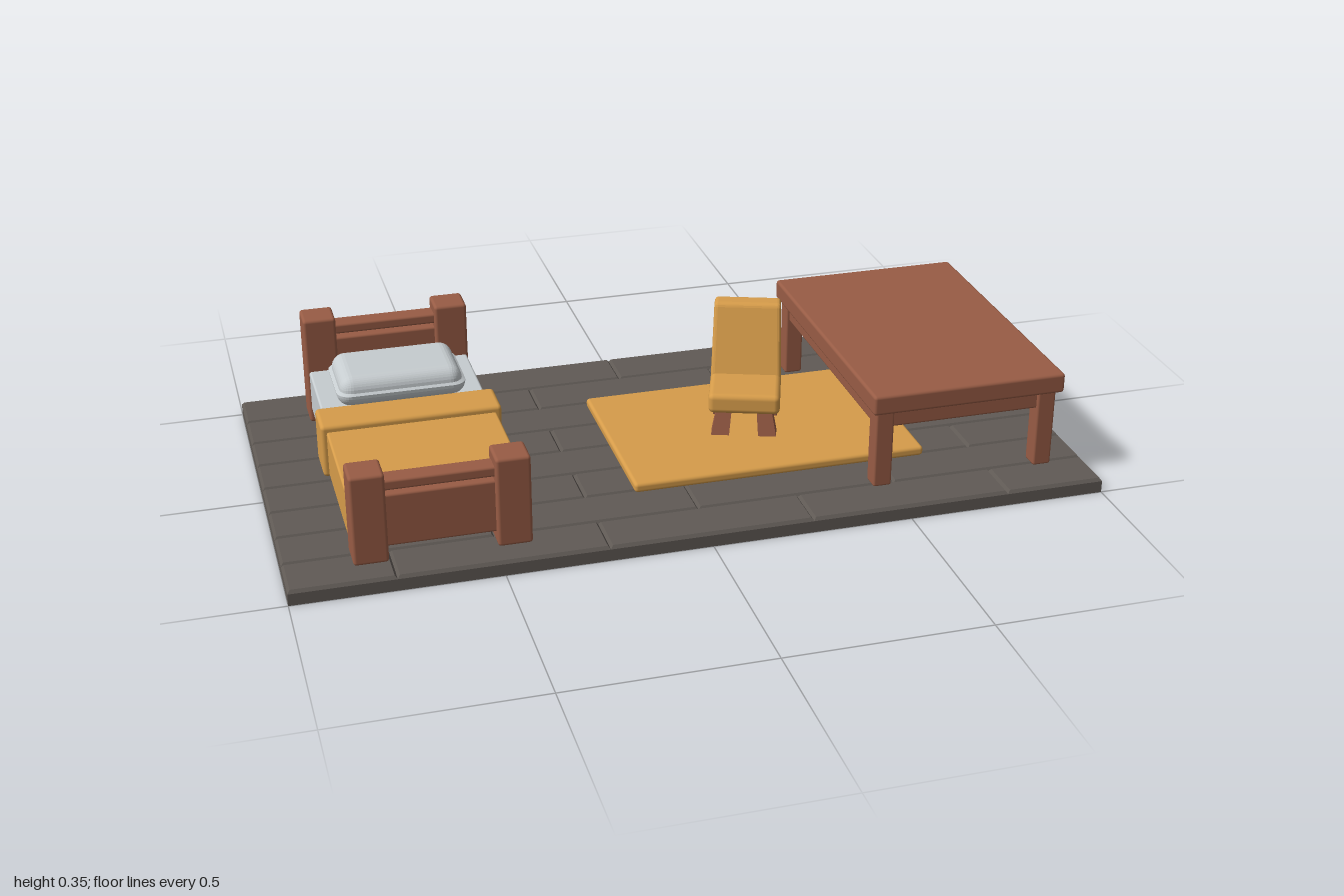
import * as THREE from 'three';
import { RoundedBoxGeometry } from 'three/addons/geometries/RoundedBoxGeometry.js';

const material = (name, color) => {
  const m = new THREE.MeshStandardMaterial({ color });
  m.name = name;
  return m;
};

export function createModel() {
  const wood = material('red brown wood', 0x985c45);
  const cloth = material('ochre cloth', 0xd69c4a);
  const linen = material('pale grey linen', 0xc6cccf);
  const planks = material('dark grey planks', 0x605a55);

  const model = new THREE.Group();
  model.name = 'bedroom';
  const group = (name, parent = model) => {
    const g = new THREE.Group();
    g.name = name;
    parent.add(g);
    return g;
  };
  const add = (parent, name, geometry, mat) => {
    const mesh = new THREE.Mesh(geometry, mat);
    mesh.name = name;
    parent.add(mesh);
    return mesh;
  };
  // Softened box given by its extents on each axis
  const block = (parent, name, mat, [x0, x1], [y0, y1], [z0, z1], radius = 0.006) => {
    const g = new RoundedBoxGeometry(x1 - x0, y1 - y0, z1 - z0, 2, radius);
    g.translate((x0 + x1) / 2, (y0 + y1) / 2, (z0 + z1) / 2);
    return add(parent, name, g, mat);
  };
  // Move each vertex of a geometry by a rule
  const reshape = (geometry, rule) => {
    const p = geometry.attributes.position;
    const v = new THREE.Vector3();
    for (let i = 0; i < p.count; i++) {
      v.fromBufferAttribute(p, i);
      rule(v);
      p.setXYZ(i, v.x, v.y, v.z);
    }
    geometry.computeVertexNormals();
    return geometry;
  };

  // Floor: slab with staggered, chamfered planks on top
  const floor = group('floor');
  add(floor, 'floorSlab', new THREE.BoxGeometry(2, 0.03, 1).translate(0, 0.015, 0), planks);
  for (let row = 0; row < 8; row++) {
    const start = row % 2 ? -1.25 : -1;
    for (let x = start; x < 1; x += 0.5) {
      const x0 = Math.max(x, -1), x1 = Math.min(x + 0.5, 1);
      const g = reshape(new THREE.BoxGeometry(x1 - x0, 0.008, 0.125), (v) => {
        if (v.y > 0) {
          v.x -= Math.sign(v.x) * 0.006;
          v.z -= Math.sign(v.z) * 0.006;
        }
      });
      add(floor, 'plank', g.translate((x0 + x1) / 2, 0.034, -0.4375 + row * 0.125), planks);
    }
  }

  // Bed
  const bed = group('bed');
  block(bed, 'mattress', linen, [-0.833, -0.423], [0.07, 0.18], [-0.345, 0.345]);
  block(bed, 'blanket', cloth, [-0.838, -0.418], [0.066, 0.184], [-0.03, 0.35]);
  block(bed, 'blanketFold', cloth, [-0.852, -0.405], [0.063, 0.2], [-0.08, 0.03], 0.01);
  const pillow = reshape(new RoundedBoxGeometry(0.325, 0.075, 0.21, 4, 0.035), (v) => {
    if (v.y > 0) {
      v.x *= 0.95;
      v.z *= 0.94;
    }
  });
  add(bed, 'pillow', pillow.translate(-0.628, 0.213, -0.2), linen);

  // Headboard and footboard: two posts, a panel and a rail
  const board = (name, z0, z1, top) => {
    const b = group(name, bed);
    const zm = (z0 + z1) / 2;
    block(b, 'post', wood, [-0.84, -0.757], [0.037, top], [z0, z1], 0.008);
    block(b, 'post', wood, [-0.502, -0.419], [0.037, top], [z0, z1], 0.008);
    block(b, 'panel', wood, [-0.77, -0.49], [0.068, top - 0.063], [zm - 0.023, zm + 0.023]);
    block(b, 'rail', wood, [-0.77, -0.49], [top - 0.052, top - 0.026], [zm - 0.025, zm + 0.025]);
  };
  board('headboard', -0.415, -0.332, 0.322);
  board('footboard', 0.347, 0.432, 0.265);

  // Rug
  block(model, 'rug', cloth, [-0.13, 0.62], [0.038, 0.063], [-0.23, 0.268], 0.009);

  // Table
  const table = group('table');
  block(table, 'tableTop', wood, [0.428, 0.925], [0.238, 0.289], [-0.345, 0.405], 0.008);
  for (const x of [0.44, 0.863]) {
    for (const z of [-0.331, 0.344]) {
      block(table, 'tableLeg', wood, [x, x + 0.047], [0.037, 0.245], [z, z + 0.047]);
    }
    block(table, 'sideApron', wood, [x + 0.008, x + 0.039], [0.19, 0.245], [-0.3, 0.36]);
  }
  for (const z of [-0.323, 0.352]) {
    block(table, 'endApron', wood, [0.47, 0.88], [0.193, 0.245], [z, z + 0.031]);
  }

  // Chair, turned slightly to its right
  const chair = group('chair');
  chair.position.set(0.23, 0, 0.012);
  chair.rotation.y = -0.34;
  block(chair, 'seat', cloth, [-0.09, 0.09], [0.13, 0.183], [-0.1, 0.1], 0.014);
  const back = reshape(new RoundedBoxGeometry(0.18, 0.19, 0.05, 2, 0.01), (v) => {
    v.z -= (v.y + 0.095) * 0.33;
    v.x *= 0.97 - v.y * 0.3;
  });
  add(chair, 'backrest', back.translate(0, 0.26, -0.047), cloth);
  for (const sx of [-1, 1]) {
    for (const sz of [-1, 1]) {
      const leg = reshape(new THREE.BoxGeometry(0.046, 0.08, 0.046), (v) => {
        const s = v.y > 0 ? 0.8 : 1;
        v.x = v.x * s + sx * (v.y > 0 ? 0.049 : 0.06);
        v.z = v.z * s + sz * (v.y > 0 ? 0.049 : 0.06);
      });
      add(chair, 'chairLeg', leg.translate(0, 0.1, 0), wood);
    }
  }

  return model;
}
